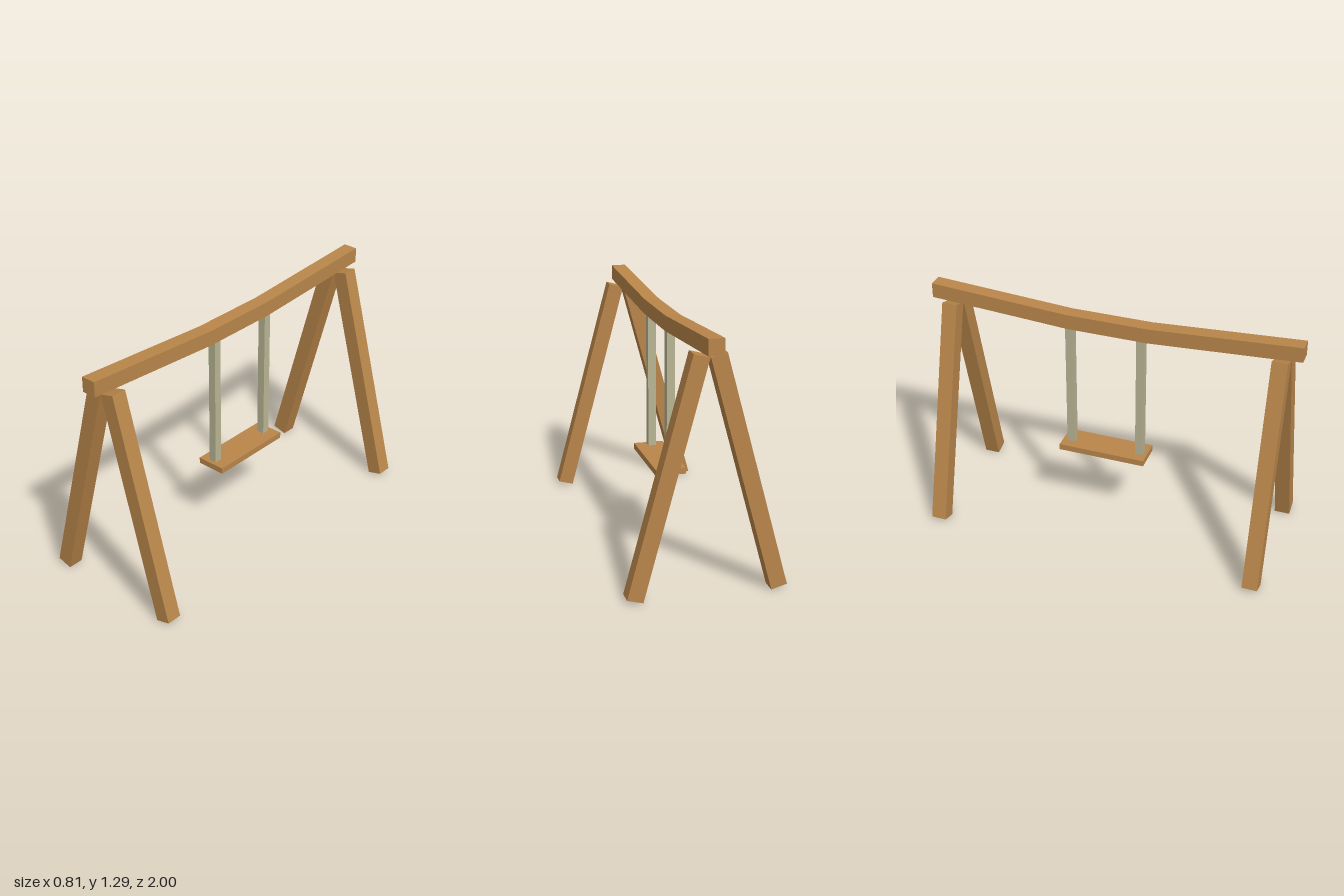
import * as THREE from 'three';

const wood = new THREE.MeshStandardMaterial({ color: 0xb9864a, flatShading: true });
const rope = new THREE.MeshStandardMaterial({ color: 0xbab594, flatShading: true });

function add(group, name, geometry, material, x = 0, y = 0, z = 0) {
  const mesh = new THREE.Mesh(geometry, material);
  mesh.name = name;
  mesh.position.set(x, y, z);
  group.add(mesh);
  return mesh;
}

export function createModel() {
  const model = new THREE.Group();
  model.name = 'swingSet';

  // Sagging top beam: side profile (as -z, y) extruded across x
  const upper = [[-1, 1.296], [-0.2, 1.247], [0.235, 1.247], [1, 1.296]];
  const lower = upper.map(([u, y]) => [u, y - 0.081]).reverse();
  const profile = new THREE.Shape([...upper, ...lower].map(([u, y]) => new THREE.Vector2(u, y)));
  const beam = new THREE.ExtrudeGeometry(profile, { depth: 0.08, bevelEnabled: false });
  beam.rotateY(Math.PI / 2);
  add(model, 'topBeam', beam, wood, -0.046);

  // A-frame legs, leaning in to meet under the beam
  const tilt = 0.264;
  const legGeometry = new THREE.BoxGeometry(0.083, 1.23, 0.083);
  for (const [end, z] of [['front', 0.893], ['back', -0.887]]) {
    for (const side of [1, -1]) {
      const name = end + (side > 0 ? 'LeftLeg' : 'RightLeg');
      add(model, name, legGeometry, wood, side * 0.202, 0.607, z).rotation.z = side * tilt;
    }
  }

  // Seat board hung from two square ropes
  add(model, 'seat', new THREE.BoxGeometry(0.162, 0.033, 0.482), wood, 0.016, 0.428, -0.048);
  const ropeGeometry = new THREE.BoxGeometry(0.043, 0.76, 0.043);
  add(model, 'frontRope', ropeGeometry, rope, 0.01, 0.815, 0.15);
  add(model, 'backRope', ropeGeometry, rope, 0.01, 0.815, -0.241);

  return model;
}
